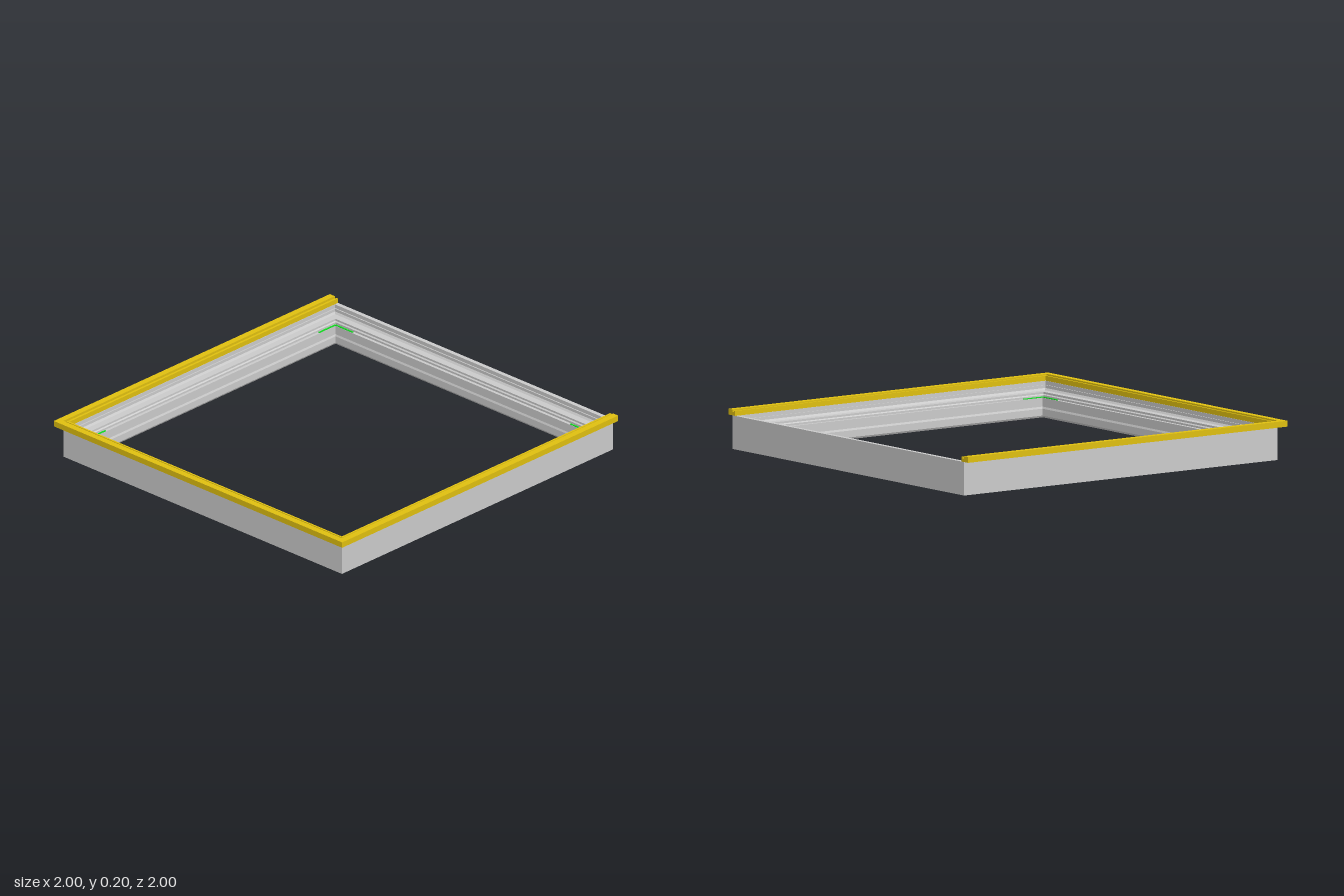
import * as THREE from 'three';

// Mitred sweep of a [inset, height] profile round corner stations [x, z, inwardX, inwardZ].
// The profile runs from outer bottom, up and over, to inner bottom.
function sweep(profile, stations, closed) {
  const pos = [];
  const pt = (s, j) => {
    const [x, z, ix, iz] = stations[s % stations.length];
    const [d, y] = profile[j % profile.length];
    return [x + ix * d, y, z + iz * d];
  };
  const segments = closed ? stations.length : stations.length - 1;
  for (let s = 0; s < segments; s++) {
    for (let j = 0; j < profile.length; j++) {
      const a = pt(s, j), b = pt(s + 1, j), c = pt(s + 1, j + 1), e = pt(s, j + 1);
      pos.push(...a, ...b, ...c, ...a, ...c, ...e);
    }
  }
  if (!closed) {
    const outline = profile.map(([d, y]) => new THREE.Vector2(d, y));
    for (const [a, b, c] of THREE.ShapeUtils.triangulateShape(outline, [])) {
      pos.push(...pt(0, c), ...pt(0, b), ...pt(0, a));
      const last = stations.length - 1;
      pos.push(...pt(last, a), ...pt(last, b), ...pt(last, c));
    }
  }
  const geometry = new THREE.BufferGeometry();
  geometry.setAttribute('position', new THREE.Float32BufferAttribute(pos, 3));
  geometry.computeVertexNormals();
  return geometry;
}

export function createModel() {
  const group = new THREE.Group();
  const grey = new THREE.MeshStandardMaterial({ color: 0xcccccc, flatShading: true });
  const yellow = new THREE.MeshStandardMaterial({ color: 0xe0c010, flatShading: true });
  const green = new THREE.MeshStandardMaterial({ color: 0x10e020, flatShading: true });
  const add = (name, geometry, material) => {
    const mesh = new THREE.Mesh(geometry, material);
    mesh.name = name;
    group.add(mesh);
    return mesh;
  };

  // Stepped frame, mitred at all four corners
  const X = 0.965, BACK = -1, FRONT = 0.965;
  const frameProfile = [
    [0, 0], [0, 0.17], [0.023, 0.17], [0.023, 0.15], [0.029, 0.15], [0.029, 0.135],
    [0.036, 0.125], [0.074, 0.125], [0.074, 0.115], [0.08, 0.11], [0.08, 0.1],
    [0.096, 0.1], [0.096, 0.055], [0.1, 0.045], [0.1, 0.01], [0.094, 0],
  ];
  add('frame', sweep(frameProfile, [
    [-X, BACK, 1, 1], [-X, FRONT, 1, -1], [X, FRONT, -1, -1], [X, BACK, -1, 1],
  ], true), grey);

  // Stepped trim on the front and both sides, open at the back
  const trimProfile = [
    [0, 0.17], [0, 0.2], [0.034, 0.2], [0.034, 0.188], [0.046, 0.188],
    [0.046, 0.195], [0.056, 0.195], [0.056, 0.17],
  ];
  add('trim', sweep(trimProfile, [
    [-1, -1, 1, 0], [-1, 1, 1, -1], [1, 1, -1, -1], [1, -1, -1, 0],
  ], false), yellow);

  // Thin L-shaped brackets in the inner corners
  const inset = 0.09, arm = 0.12, t = 0.008, h = 0.008;
  for (const sx of [-1, 1]) {
    for (const [edge, sz] of [[BACK, -1], [FRONT, 1]]) {
      const x = sx * (X - inset), z = edge - sz * inset;
      add('cornerBracketArm', new THREE.BoxGeometry(arm, h, t), green)
        .position.set(x - sx * arm / 2, 0.1, z);
      add('cornerBracketArm', new THREE.BoxGeometry(t, h, arm), green)
        .position.set(x, 0.1, z - sz * arm / 2);
    }
  }
  return group;
}
